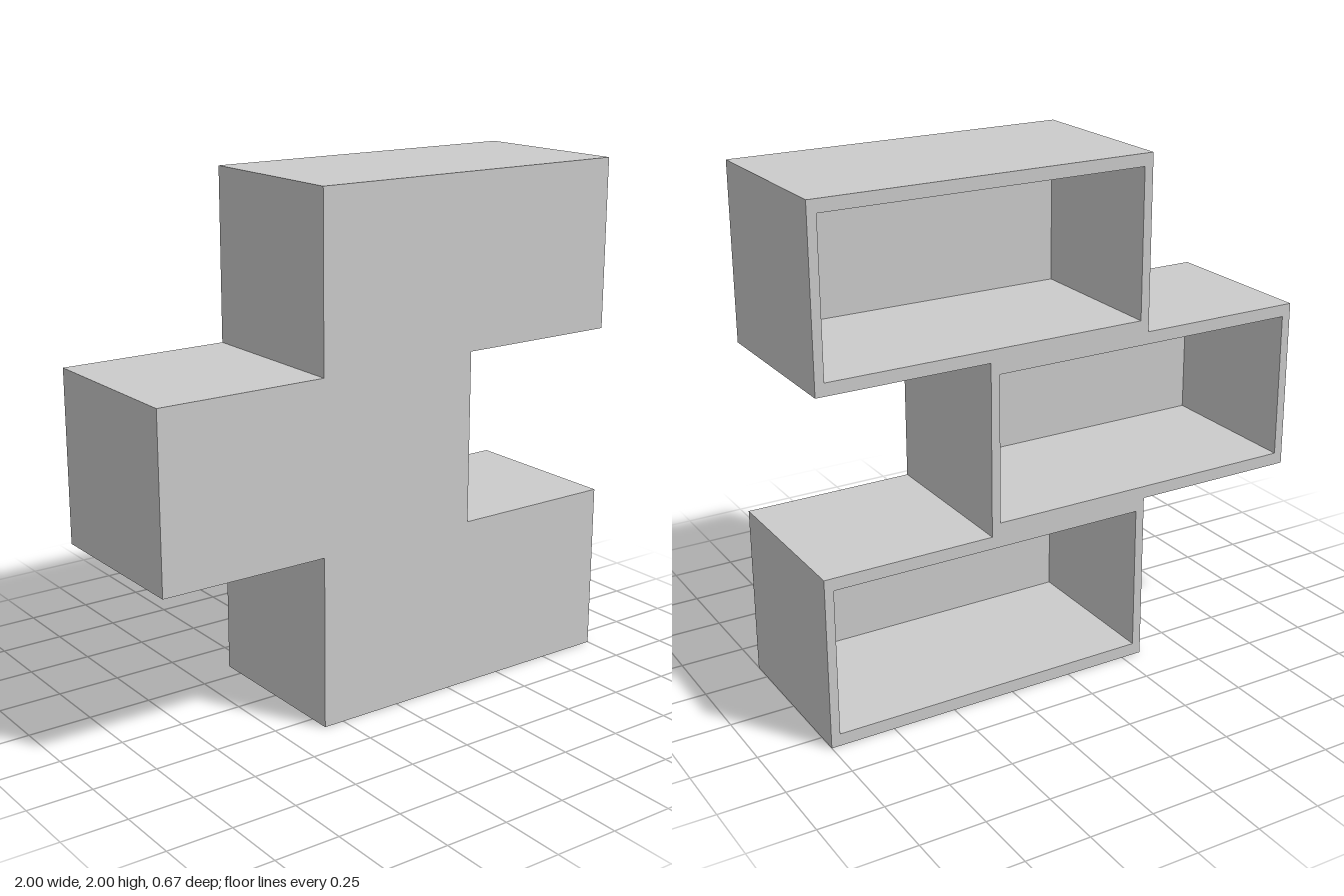
import * as THREE from 'three';
import { mergeGeometries } from 'three/addons/utils/BufferGeometryUtils.js';

const U = 2 / 3;        // one cell of the layout
const DEPTH = U;
const SIDE = 0.035;     // upright wall thickness
const SHELF = 0.048;    // horizontal wall thickness
const PANEL = 0.048;    // front panel thickness

// lower left corners of the three staggered boxes, each 2 x 1 cells
const BOXES = [[-U / 2, 0], [-1, U], [-U / 2, 2 * U]];

// stepped outline of the three boxes together
function outline() {
  const a = U / 2;
  return new THREE.Shape([
    [-a, 0], [1, 0], [1, U], [a, U], [a, 2 * U], [1, 2 * U], [1, 2],
    [-a, 2], [-a, 2 * U], [-1, 2 * U], [-1, U], [-a, U],
  ].map(([x, y]) => new THREE.Vector2(x, y)));
}

function compartmentHole([x, y]) {
  const x0 = x + SIDE, x1 = x + 2 * U - SIDE;
  const y0 = y + SHELF, y1 = y + U - SHELF;
  return new THREE.Path([
    new THREE.Vector2(x0, y0), new THREE.Vector2(x0, y1),
    new THREE.Vector2(x1, y1), new THREE.Vector2(x1, y0),
  ]);
}

// walls and open back rim, without the front cap that the panel replaces
function frameGeometry() {
  const shape = outline();
  shape.holes = BOXES.map(compartmentHole);
  const geo = new THREE.ExtrudeGeometry(shape, { depth: DEPTH, bevelEnabled: false });
  const p = geo.attributes.position;
  const keep = [];
  for (let i = 0; i < p.count; i += 3) {
    const isFront = [0, 1, 2].every((k) => p.getZ(i + k) > DEPTH - 1e-4);
    if (!isFront) keep.push(i, i + 1, i + 2);
  }
  geo.clearGroups();
  geo.setIndex(keep);
  return geo.toNonIndexed().translate(0, 0, -DEPTH / 2);
}

export function createModel() {
  const group = new THREE.Group();
  group.name = 'staggeredShelf';
  const material = new THREE.MeshStandardMaterial({ color: 0xcccccc });

  // closed front face and outer walls
  const front = new THREE.ShapeGeometry(outline()).toNonIndexed().translate(0, 0, DEPTH / 2);
  const shell = new THREE.Mesh(mergeGeometries([frameGeometry(), front]), material);
  shell.name = 'shelfShell';
  group.add(shell);

  // inner face of the front panel in each compartment, facing the open back
  BOXES.forEach(([x, y], i) => {
    const geo = new THREE.PlaneGeometry(2 * U - 2 * SIDE, U - 2 * SHELF).rotateY(Math.PI);
    const inner = new THREE.Mesh(geo, material);
    inner.position.set(x + U, y + U / 2, DEPTH / 2 - PANEL);
    inner.name = `compartmentPanel${i + 1}`;
    group.add(inner);
  });
  return group;
}
